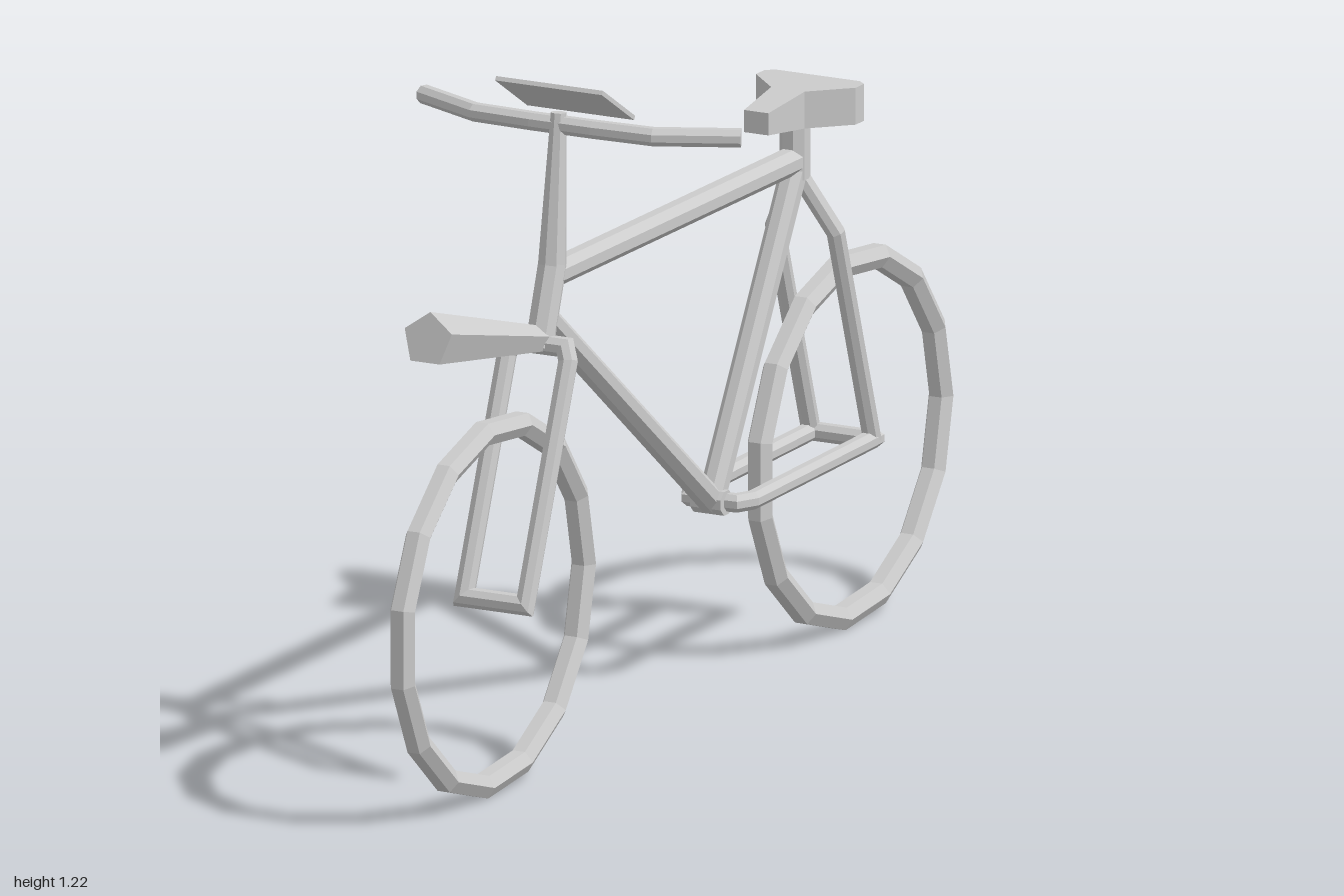
import * as THREE from 'three';

const material = new THREE.MeshStandardMaterial({ color: 0xcccccc, flatShading: true, side: THREE.DoubleSide });
const V = (p) => new THREE.Vector3(...p);

function add(parent, name, geometry) {
  const mesh = new THREE.Mesh(geometry, material);
  mesh.name = name;
  parent.add(mesh);
  return mesh;
}

// Round pipe along a bent path, with mitred corners and closed ends
function pipe(points, radius, sides = 8) {
  const path = points.map(V);
  const dirs = path.slice(1).map((p, i) => p.clone().sub(path[i]).normalize());
  const turn = new THREE.Quaternion().setFromUnitVectors(new THREE.Vector3(0, 0, 1), dirs[0]);
  let ring = [];
  for (let k = 0; k < sides; k++) {
    const a = ((k + 0.5) / sides) * Math.PI * 2;
    ring.push(new THREE.Vector3(Math.cos(a), Math.sin(a), 0).multiplyScalar(radius).applyQuaternion(turn).add(path[0]));
  }
  const pos = [], index = [];
  path.forEach((p, i) => {
    if (i > 0) {
      // slide the ring along the segment onto the mitre plane
      const d = dirs[i - 1];
      const n = d.clone().add(dirs[i] ?? d).normalize();
      ring = ring.map((v) => v.clone().addScaledVector(d, p.clone().sub(v).dot(n) / d.dot(n)));
    }
    ring.forEach((v) => pos.push(v.x, v.y, v.z));
    if (i === 0) return;
    for (let k = 0; k < sides; k++) {
      const a = (i - 1) * sides + k, b = (i - 1) * sides + ((k + 1) % sides);
      index.push(a, b, b + sides, a, b + sides, a + sides);
    }
  });
  const last = (path.length - 1) * sides;
  for (let k = 1; k < sides - 1; k++) index.push(0, k + 1, k, last, last + k, last + k + 1);
  const g = new THREE.BufferGeometry();
  g.setAttribute('position', new THREE.Float32BufferAttribute(pos, 3));
  g.setIndex(index);
  g.computeVertexNormals();
  return g;
}

// Straight tapered bar from a to b
function taper(a, b, r0, r1, sides = 8) {
  const from = V(a), to = V(b), d = to.clone().sub(from);
  const g = new THREE.CylinderGeometry(r1, r0, d.length(), sides);
  g.applyQuaternion(new THREE.Quaternion().setFromUnitVectors(new THREE.Vector3(0, 1, 0), d.normalize()));
  return g.translate(...from.add(to).multiplyScalar(0.5).toArray());
}

// Fifteen-sided tyre with a hexagonal section, slightly flattened
function tyre() {
  const profile = [];
  for (let k = 0; k <= 6; k++) {
    const a = -Math.PI / 6 + (k * Math.PI) / 3;
    profile.push(new THREE.Vector2(0.332 + 0.024 * Math.cos(a), 0.024 * Math.sin(a)));
  }
  return new THREE.LatheGeometry(profile, 15, Math.PI).rotateZ(Math.PI / 2).scale(1, 0.955, 1);
}

// Saddle: T-shaped outline, thinner at the nose
function saddle() {
  const half = [[0.024, 0.305], [0.033, 0.42], [0.098, 0.485], [0.098, 0.515], [0.083, 0.528]];
  const outline = [...half, ...half.map(([x, z]) => [-x, z]).reverse()].map(([x, z]) => new THREE.Vector2(x, z));
  const g = new THREE.ExtrudeGeometry(new THREE.Shape(outline), { depth: 0.066, bevelEnabled: false });
  g.rotateX(-Math.PI / 2).translate(0, -0.033, 0);
  const p = g.attributes.position;
  for (let i = 0; i < p.count; i++) if (p.getZ(i) > -0.35) p.setY(i, p.getY(i) * 0.6);
  g.computeVertexNormals();
  return g.translate(0, 0.98, 0);
}

export function createModel() {
  const model = new THREE.Group();
  model.name = 'bicycle';
  const body = new THREE.Group();
  body.name = 'body';
  body.position.x = -0.008;
  model.add(body);

  // Wheels
  add(body, 'frontWheel', tyre()).position.set(0, 0.339, 0.652);
  add(body, 'rearWheel', tyre()).position.set(0, 0.339, -0.644);

  // Main frame
  const bottom = [0, 0.342, -0.142];
  add(body, 'topTube', pipe([[0, 0.882, 0.435], [0, 0.882, -0.445]], 0.025));
  add(body, 'downTube', pipe([[0, 0.805, 0.455], bottom], 0.024));
  add(body, 'seatTube', pipe([bottom, [0, 0.87, -0.445]], 0.024));
  add(body, 'seatPost', pipe([[0, 0.85, -0.445], [0, 0.96, -0.445]], 0.027));
  add(body, 'bottomBracket', pipe([[-0.03, 0.342, -0.142], [0.03, 0.342, -0.142]], 0.023));

  // Rear stays, closed across the axle
  add(body, 'chainStays', pipe([
    [0, 0.342, -0.148], [0.045, 0.342, -0.15], [0.06, 0.342, -0.18], [0.06, 0.35, -0.615],
    [-0.06, 0.35, -0.615], [-0.06, 0.342, -0.18], [-0.045, 0.342, -0.15], [0, 0.342, -0.148],
  ], 0.017));
  for (const s of [1, -1]) {
    add(body, s > 0 ? 'leftSeatStay' : 'rightSeatStay', pipe([
      [0, 0.865, -0.447], [s * 0.06, 0.75, -0.483], [s * 0.06, 0.35, -0.615],
    ], 0.017));
  }

  // Fork with crown and axle
  add(body, 'fork', pipe([
    [0, 0.767, 0.48], [0.05, 0.767, 0.48], [0.06, 0.745, 0.488], [0.06, 0.345, 0.643],
    [-0.06, 0.345, 0.643], [-0.06, 0.745, 0.488], [-0.05, 0.767, 0.48], [0, 0.767, 0.48],
  ], 0.018));

  // Steering column
  add(body, 'headTube', taper([0, 0.76, 0.482], [0, 0.9, 0.434], 0.026, 0.026));
  add(body, 'stem', taper([0, 0.89, 0.436], [0, 1.165, 0.412], 0.026, 0.014));

  // Handlebar
  add(model, 'handlebar', pipe([
    [-0.312, 1.143, 0.34], [-0.175, 1.143, 0.405], [-0.06, 1.143, 0.41],
    [0.06, 1.143, 0.41], [0.175, 1.143, 0.405], [0.312, 1.143, 0.34],
  ], 0.017));

  // Tilted plate above the handlebar
  const plate = add(body, 'plate', new THREE.BoxGeometry(0.21, 0.008, 0.137));
  plate.position.set(0, 1.185, 0.388);
  plate.rotation.x = -0.55;

  // Five-sided headlamp
  const lamp = taper([0, 0, 0], [0, 0.41, 0], 0.024, 0.0487, 5).rotateX(Math.PI / 2).rotateY(0);
  lamp.rotateZ(Math.PI);
  const lampMesh = add(body, 'headlamp', lamp);
  lampMesh.position.set(0, 0.777, 0.488);
  lampMesh.rotation.x = -0.225;

  // Saddle
  add(body, 'saddle', saddle());
  return model;
}
